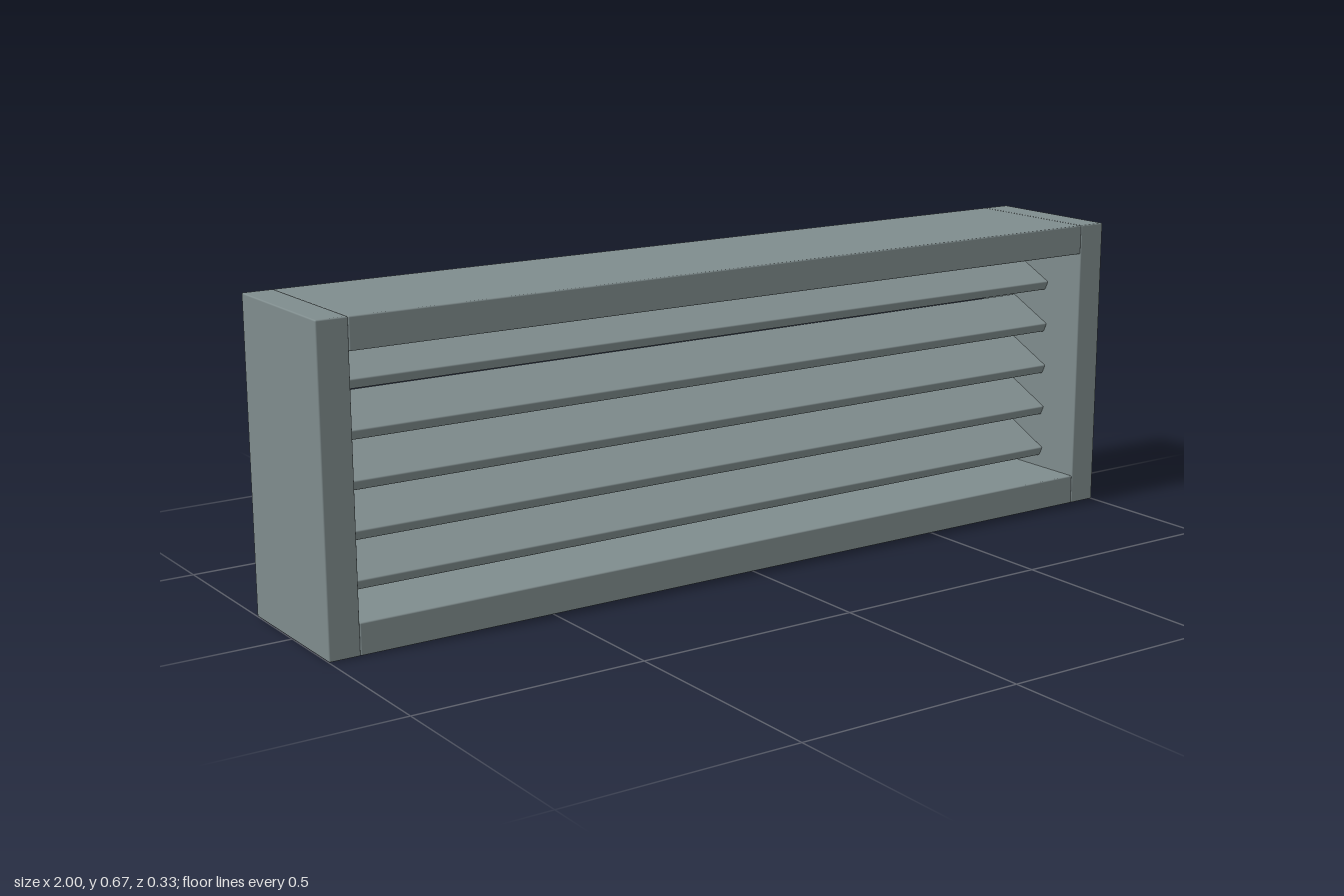
import * as THREE from 'three';
import { RoundedBoxGeometry } from 'three/addons/geometries/RoundedBoxGeometry.js';

const WIDTH = 2, HEIGHT = 0.667, DEPTH = 0.333, BOARD = 0.067, EDGE = 0.003;
const SLATS = 5, PITCH = 0.1013, TILT = THREE.MathUtils.degToRad(25);

export function createModel() {
  const model = new THREE.Group();
  model.name = 'louvreVent';
  const material = new THREE.MeshStandardMaterial({ color: 0x7f8c8d });
  const inner = WIDTH - 2 * BOARD;

  // Board with slightly eased edges
  const addBoard = (name, w, h, d, x, y) => {
    const mesh = new THREE.Mesh(new RoundedBoxGeometry(w, h, d, 2, EDGE), material);
    mesh.name = name;
    mesh.position.set(x, y, 0);
    model.add(mesh);
    return mesh;
  };

  // Full-height side boards
  for (const [name, side] of [['leftBoard', 1], ['rightBoard', -1]]) {
    addBoard(name, BOARD, HEIGHT, DEPTH, side * (WIDTH - BOARD) / 2, HEIGHT / 2);
  }

  // Top and bottom boards fitted between the sides
  addBoard('bottomBoard', inner, BOARD, DEPTH, 0, BOARD / 2);
  addBoard('topBoard', inner, BOARD, DEPTH, 0, HEIGHT - BOARD / 2);

  // Louvre slats, front edge tilted down
  for (let i = 0; i < SLATS; i++) {
    const y = HEIGHT / 2 + (i - (SLATS - 1) / 2) * PITCH;
    addBoard(`slat${i + 1}`, inner, 0.0235, 0.1285, 0, y).rotation.x = TILT;
  }

  return model;
}
